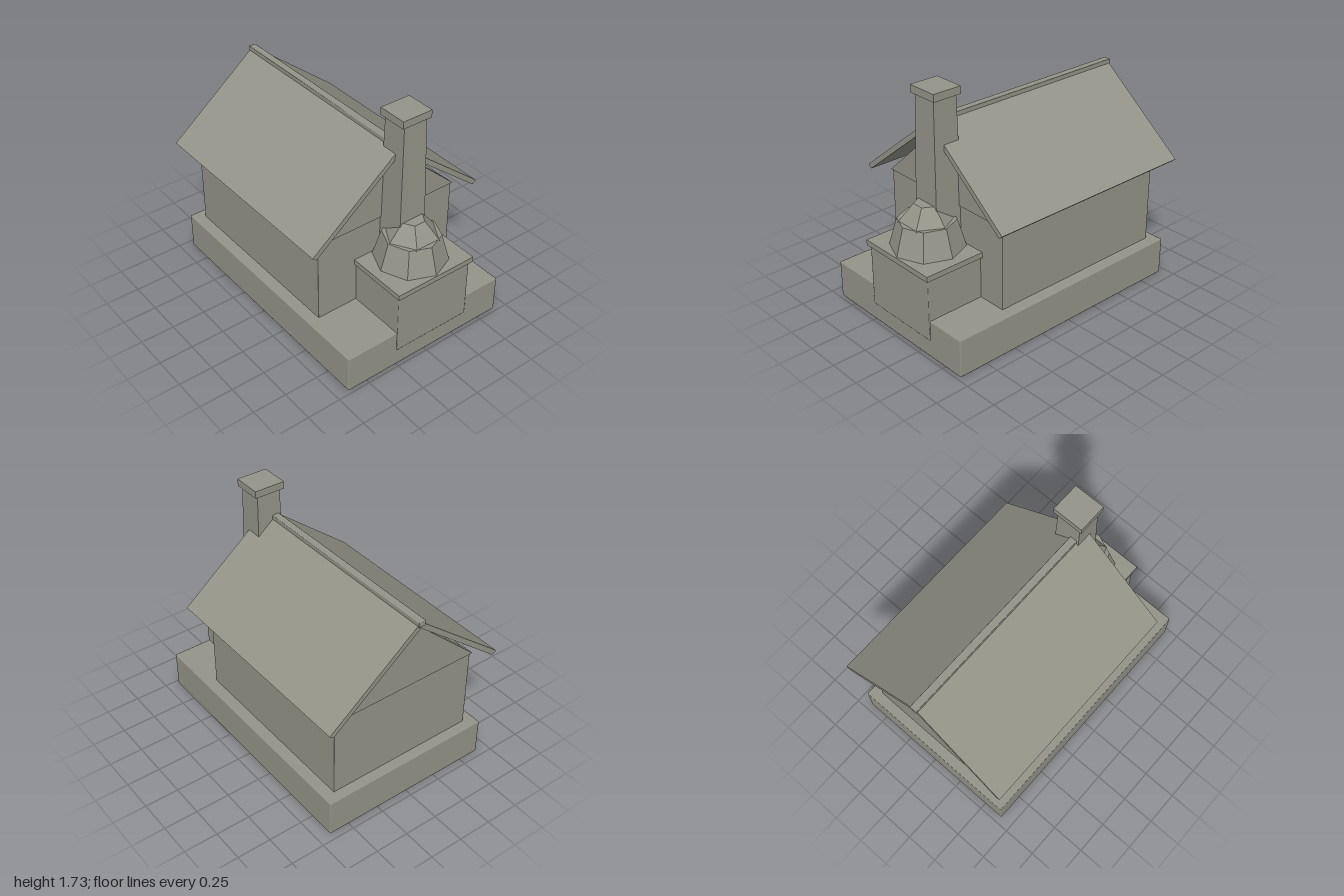
import * as THREE from 'three';
import { RoundedBoxGeometry } from 'three/addons/geometries/RoundedBoxGeometry.js';

export function createModel() {
  const group = new THREE.Group();
  const stone = new THREE.MeshStandardMaterial({ color: 0x949489 });
  const add = (name, geometry) => {
    const mesh = new THREE.Mesh(geometry, stone);
    mesh.name = name;
    group.add(mesh);
    return mesh;
  };
  // Box from its limits, with an optional small bevel
  const box = (name, [x0, x1], [y0, y1], [z0, z1], bevel = 0) => {
    const size = [x1 - x0, y1 - y0, z1 - z0];
    const geometry = bevel ? new RoundedBoxGeometry(...size, 1, bevel) : new THREE.BoxGeometry(...size);
    return add(name, geometry.translate((x0 + x1) / 2, (y0 + y1) / 2, (z0 + z1) / 2));
  };
  // Profile of [z, y] points extruded along x
  const alongX = (name, points, x0, x1) => {
    const shape = new THREE.Shape(points.map(([z, y]) => new THREE.Vector2(-z, y)));
    const geometry = new THREE.ExtrudeGeometry(shape, { depth: x1 - x0, bevelEnabled: false });
    return add(name, geometry.rotateY(Math.PI / 2).translate(x0, 0, 0));
  };
  // Faceted tapered solid standing between two heights
  const taper = (name, rTop, rBottom, y0, y1, sides, x, z, turn = 0) => {
    const indexed = new THREE.CylinderGeometry(rTop, rBottom, y1 - y0, sides);
    const geometry = indexed.toNonIndexed();
    geometry.computeVertexNormals();
    return add(name, geometry.rotateY(turn).translate(x, (y0 + y1) / 2, z));
  };

  // Plinth and house body
  box('foundation', [-0.95, 0.975], [0, 0.28], [-0.656, 0.656], 0.008);
  box('houseWalls', [-0.875, 0.54], [0.27, 0.9], [-0.57, 0.57], 0.004);

  // Triangular gables, leaving the loft open between them
  const gable = [[-0.58, 0.893], [0.58, 0.893], [0, 1.42]];
  alongX('leftGable', gable, 0.485, 0.548);
  alongX('rightGable', gable, -0.888, -0.81);

  // Overhanging roof slopes and ridge
  for (const [name, s] of [['frontRoof', 1], ['backRoof', -1]]) {
    alongX(name, [[0.695, 0.925], [0.667, 0.9], [0, 1.432], [0, 1.48]].map(([z, y]) => [z * s, y]), -0.99, 0.655);
  }
  box('roofRidge', [-1, 0.6], [1.45, 1.49], [-0.027, 0.027], 0.005);

  // Oven base and its ledge
  const cz = -0.052;
  const ovenX = 0.735;
  box('ovenBase', [0.49, 0.981], [0.13, 0.6], [cz - 0.305, cz + 0.305], 0.006);
  box('ovenLedge', [0.47, 1], [0.59, 0.63], [cz - 0.322, cz + 0.322]);

  // Two-stage oven dome
  taper('ovenDome', 0.2, 0.26, 0.62, 0.827, 8, ovenX, cz);
  taper('ovenDomeTop', 0.086, 0.195, 0.818, 0.945, 6, ovenX, cz);

  // Tapered chimney and cap
  const chimneyX = 0.633;
  taper('chimney', 0.091 * Math.SQRT2, 0.114 * Math.SQRT2, 0.5, 1.69, 4, chimneyX, cz, Math.PI / 4);
  box('chimneyCap', [chimneyX - 0.109, chimneyX + 0.109], [1.678, 1.732], [cz - 0.116, cz + 0.116]);

  return group;
}
